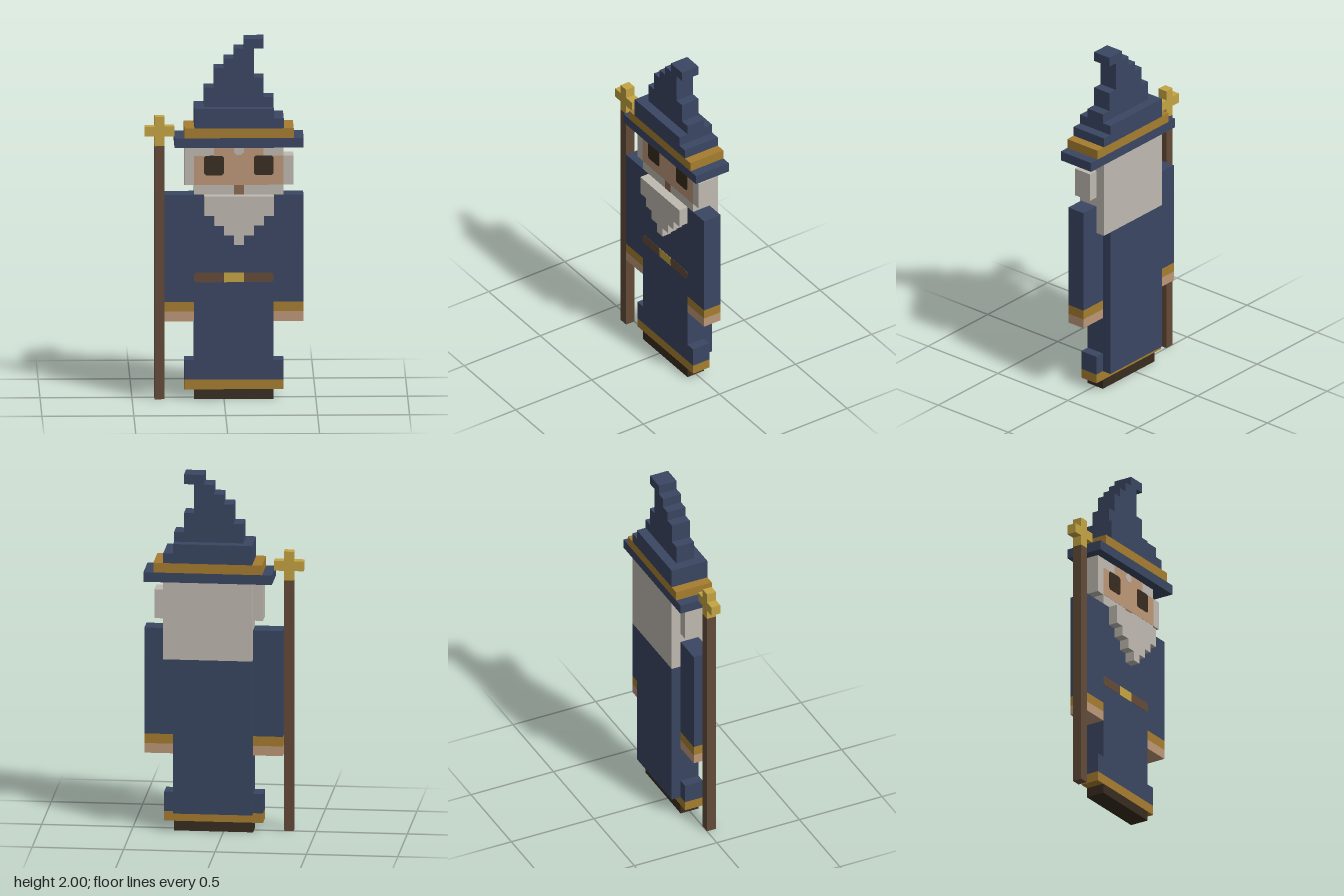
import * as THREE from 'three';

const U = 2 / 37; // one block

const mat = (name, color) => Object.assign(new THREE.MeshStandardMaterial({ color }), { name });

export function createModel() {
  const model = new THREE.Group();
  model.name = 'wizard';
  const navy = mat('navy cloth', 0x3a4662);
  const trim = mat('ochre trim', 0xa67d2f);
  const brass = mat('brass', 0xc4a443);
  const skin = mat('skin', 0xbd9878);
  const hair = mat('grey hair', 0xbfbab1);
  const wood = mat('brown wood and leather', 0x634b38);
  const dark = mat('dark brown', 0x382c20);
  const lip = mat('lip', 0x8c6a52);

  const group = (name) => {
    const g = new THREE.Group();
    g.name = name;
    model.add(g);
    return g;
  };

  // Block given by its limits in block units
  const block = (parent, name, m, x0, x1, y0, y1, z0 = -1, z1 = 1) => {
    const mesh = new THREE.Mesh(new THREE.BoxGeometry((x1 - x0) * U, (y1 - y0) * U, (z1 - z0) * U), m);
    mesh.position.set((x0 + x1) / 2 * U, (y0 + y1) / 2 * U, (z0 + z1) / 2 * U);
    mesh.name = name;
    parent.add(mesh);
    return mesh;
  };

  // Thin plate on the front, with corners cut by c
  const plate = (parent, name, m, x0, x1, y0, y1, c = 0, lift = 0.03) => {
    const pts = c
      ? [[x0 + c, y0], [x1 - c, y0], [x1, y0 + c], [x1, y1 - c], [x1 - c, y1], [x0 + c, y1], [x0, y1 - c], [x0, y0 + c]]
      : [[x0, y0], [x1, y0], [x1, y1], [x0, y1]];
    const shape = new THREE.Shape(pts.map(([x, y]) => new THREE.Vector2(x * U, y * U)));
    const mesh = new THREE.Mesh(new THREE.ExtrudeGeometry(shape, { depth: lift * U, bevelEnabled: false }), m);
    mesh.position.z = U;
    mesh.name = name;
    parent.add(mesh);
  };

  // Robe with flared hem, back panel and shoes
  const robe = group('robe');
  block(robe, 'shoes', dark, -3, 5, 0, 1);
  block(robe, 'hemTrim', trim, -4, 6, 1, 2);
  block(robe, 'hem', navy, -4, 6, 2, 4);
  block(robe, 'torso', navy, -3, 5, 4, 21);
  block(robe, 'backPanel', navy, -3, 5, 2, 18, -2, -1);
  plate(robe, 'beltRight', wood, -3, 0, 12, 13, 0.2);
  plate(robe, 'beltLeft', wood, 2, 5, 12, 13, 0.2);
  plate(robe, 'buckle', brass, 0, 2, 12, 13);

  // Arms
  for (const [side, x] of [['right', -6], ['left', 5]]) {
    const arm = group(side + 'Arm');
    block(arm, 'sleeve', navy, x, x + 3, 10, 21);
    block(arm, 'cuff', trim, x, x + 3, 9, 10);
    block(arm, 'hand', skin, x, x + 3, 8, 9);
  }

  // Head, hair and face
  const head = group('head');
  block(head, 'skull', hair, -3, 6, 21, 26);
  block(head, 'backHair', hair, -3, 6, 18, 26, -2, -1);
  block(head, 'rightSideHair', hair, -4, -3, 22, 26);
  block(head, 'leftSideHair', hair, 6, 7, 22, 25);
  plate(head, 'face', skin, -3, 6, 22, 25);
  plate(head, 'forehead', skin, -1, 4, 25, 26);
  plate(head, 'forelock', hair, 1, 2, 25.1, 26, 0.27, 0.06);
  plate(head, 'rightEye', dark, -2, 0, 23, 25, 0.2, 0.06);
  plate(head, 'leftEye', dark, 3, 5, 23, 25, 0.2, 0.06);
  plate(head, 'mouth', lip, 1, 2, 21, 22);

  // Stepped beard
  const beard = group('beard');
  [[-2, 5, 19, 21], [-1, 4, 18, 19], [0, 3, 17, 18], [1, 2, 16, 17]]
    .forEach(([x0, x1, y0, y1], i) => block(beard, 'beardStep' + (i + 1), hair, x0, x1, y0, y1, 1, 2));

  // Hat: wide lower part, then a crooked stepped cone
  const hat = group('hat');
  block(hat, 'brim', navy, -5, 8, 26, 27, -2, 2);
  block(hat, 'hatBand', trim, -4, 7, 27, 28, -2, 2);
  block(hat, 'crownBase', navy, -3, 6, 28, 29, -2, 2);
  block(hat, 'crown', navy, -3, 5, 29, 30, -2, 2);
  [[-2, 5], [-2, 4], [-1, 4], [-1, 3], [0, 3], [1, 3], [2, 4]]
    .forEach(([x0, x1], i) => block(hat, 'coneStep' + (i + 1), navy, x0, x1, 30 + i, 31 + i));

  // Staff with a cross-shaped head
  const staff = group('staff');
  block(staff, 'pole', wood, -7, -6, 0, 26, 0, 1);
  block(staff, 'staffHead', brass, -7, -6, 26, 29, 0, 1);
  block(staff, 'staffHeadRight', brass, -8, -7, 27, 28, 0, 1);
  block(staff, 'staffHeadLeft', brass, -6, -5, 27, 28, 0, 1);

  return model;
}
